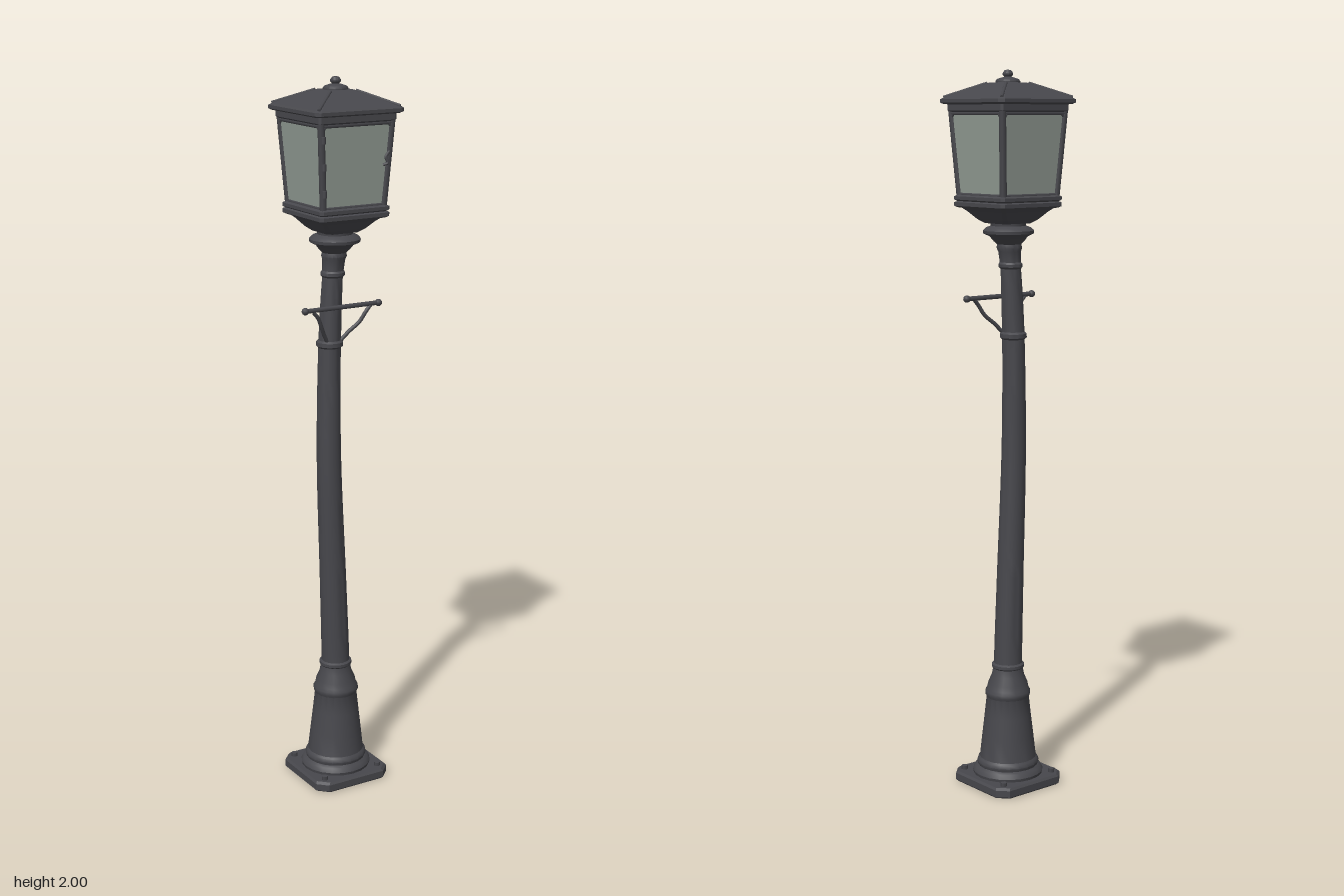
import * as THREE from 'three';
import { toCreasedNormals } from 'three/addons/utils/BufferGeometryUtils.js';

const metal = new THREE.MeshStandardMaterial({ color: 0x47474c });
metal.name = 'dark iron';
const glass = new THREE.MeshStandardMaterial({ color: 0x919b93 });
glass.name = 'grey green glass';

const V = (x, y, z) => new THREE.Vector3(x, y, z);

// Sideways lean of the old post at a given height
const leanCurve = new THREE.CatmullRomCurve3([
  V(0, 0, 0), V(0, 0.33, 0), V(-0.009, 0.6, 0.001), V(-0.022, 0.97, 0.001),
  V(-0.017, 1.28, -0.003), V(-0.009, 1.45, -0.003), V(-0.002, 1.56, -0.001), V(0, 1.7, 0),
]);
const leanPoints = leanCurve.getPoints(120);
function lean(y) {
  let i = 1;
  while (i < leanPoints.length - 1 && leanPoints[i].y < y) i++;
  const a = leanPoints[i - 1], b = leanPoints[i];
  const t = THREE.MathUtils.clamp((y - a.y) / (b.y - a.y), 0, 1);
  return a.clone().lerp(b, t);
}

function add(parent, name, geometry, material = metal) {
  const mesh = new THREE.Mesh(geometry, material);
  mesh.name = name;
  parent.add(mesh);
  return mesh;
}

// Turned part from [radius, height] pairs
function turned(profile, sides = 20) {
  return new THREE.LatheGeometry(profile.map(([r, y]) => new THREE.Vector2(r, y)), sides);
}

// Solid with square, corner-cut sections: rows of [half width, corner cut, height]
function squareLoft(rows) {
  const pos = [];
  const ring = ([h, c, y]) => [
    [h, h - c], [h - c, h], [c - h, h], [-h, h - c],
    [-h, c - h], [c - h, -h], [h - c, -h], [h, c - h],
  ].map(([x, z]) => [x, y, z]);
  const rings = rows.map(ring);
  for (let k = 0; k < rings.length - 1; k++) {
    for (let i = 0; i < 8; i++) {
      const j = (i + 1) % 8, a = rings[k], b = rings[k + 1];
      pos.push(...a[i], ...b[j], ...a[j], ...a[i], ...b[i], ...b[j]);
    }
  }
  const lo = rings[0], hi = rings[rings.length - 1];
  for (let i = 1; i < 7; i++) {
    pos.push(...lo[0], ...lo[i], ...lo[i + 1], ...hi[0], ...hi[i + 1], ...hi[i]);
  }
  const g = new THREE.BufferGeometry();
  g.setAttribute('position', new THREE.Float32BufferAttribute(pos, 3));
  g.computeVertexNormals();
  return g;
}

// Straight bar between two points
function bar(parent, name, a, b, radius, sides = 8) {
  const mesh = add(parent, name, new THREE.CylinderGeometry(radius, radius, a.distanceTo(b), sides));
  mesh.position.copy(a).add(b).multiplyScalar(0.5);
  mesh.quaternion.setFromUnitVectors(V(0, 1, 0), b.clone().sub(a).normalize());
  return mesh;
}

function makePost() {
  const post = new THREE.Group();
  post.name = 'post';
  add(post, 'basePlate', squareLoft([
    [0.113, 0.028, 0], [0.118, 0.028, 0.005], [0.118, 0.028, 0.024], [0.113, 0.028, 0.03],
  ]));
  for (const x of [-1, 1]) for (const z of [-1, 1]) {
    const bolt = add(post, 'baseBolt', new THREE.CylinderGeometry(0.009, 0.009, 0.014, 6));
    bolt.position.set(x * 0.088, 0.034, z * 0.088);
  }
  // Foot, long shaft and collars share one turned profile
  const profile = [
    [0, 0.02], [0.098, 0.028], [0.1, 0.038], [0.094, 0.05], [0.085, 0.055], [0.088, 0.064],
    [0.085, 0.073], [0.08, 0.078], [0.073, 0.14], [0.066, 0.2], [0.06, 0.255], [0.064, 0.262],
    [0.064, 0.272], [0.059, 0.28], [0.056, 0.295], [0.046, 0.318], [0.042, 0.338],
    [0.046, 0.342], [0.046, 0.35], [0.04, 0.354],
  ];
  for (let i = 1; i < 22; i++) {
    const t = i / 22;
    profile.push([0.04 - 0.009 * t, 0.354 + 0.92 * t]);
  }
  profile.push(
    [0.031, 1.274], [0.037, 1.279], [0.037, 1.29], [0.031, 1.295], [0.03, 1.36], [0.029, 1.42],
    [0.028, 1.468], [0.033, 1.473], [0.033, 1.481], [0.029, 1.486], [0.031, 1.515],
    [0.035, 1.525], [0.033, 1.535], [0.042, 1.543], [0.052, 1.556], [0.069, 1.564],
    [0.07, 1.572], [0.062, 1.58], [0.048, 1.585], [0.05, 1.6], [0, 1.605],
  );
  const g = turned(profile);
  const p = g.attributes.position;
  for (let i = 0; i < p.count; i++) {
    const o = lean(p.getY(i));
    p.setX(i, p.getX(i) + o.x);
    p.setZ(i, p.getZ(i) + o.z);
  }
  add(post, 'shaft', toCreasedNormals(g, 0.65));
  return post;
}

// Cross bar with two curved braces
function makeLadderRest() {
  const rest = new THREE.Group();
  rest.name = 'ladderRest';
  const y = 1.39, z = 0.034;
  bar(rest, 'crossBar', V(-0.116, y, z), V(0.118, y, z), 0.0065);
  for (const s of [-1, 1]) {
    add(rest, 'barEnd', new THREE.SphereGeometry(0.01, 10, 8)).position.set(0.001 + s * 0.115, y, z);
    const path = new THREE.CatmullRomCurve3([
      V(-0.014 + s * 0.022, 1.295, 0.016), V(-0.01 + s * 0.04, 1.318, 0.022),
      V(-0.002 + s * 0.06, 1.342, 0.029), V(s * 0.076, 1.37, 0.034), V(s * 0.09, y - 0.004, z),
    ]);
    add(rest, 'brace', new THREE.TubeGeometry(path, 14, 0.0055, 7));
  }
  return rest;
}

function makeLantern() {
  const lantern = new THREE.Group();
  lantern.name = 'lantern';
  // Flared seat and bottom moulding
  add(lantern, 'lanternSeat', squareLoft([
    [0.05, 0.012, 1.592], [0.064, 0.01, 1.603], [0.082, 0.008, 1.624], [0.096, 0.008, 1.636],
  ]));
  add(lantern, 'bottomMoulding', squareLoft([
    [0.1, 0.008, 1.634], [0.107, 0.008, 1.638], [0.107, 0.008, 1.648], [0.101, 0.008, 1.651],
    [0.107, 0.008, 1.655], [0.107, 0.008, 1.664], [0.1, 0.008, 1.668],
  ]));
  add(lantern, 'glassPanes', squareLoft([[0.095, 0.004, 1.66], [0.111, 0.004, 1.895]]), glass);
  add(lantern, 'topRail', squareLoft([
    [0.113, 0.006, 1.888], [0.118, 0.006, 1.892], [0.118, 0.006, 1.908], [0.122, 0.006, 1.912],
  ]));
  // Corner posts and the slim rails framing each pane
  for (let i = 0; i < 4; i++) {
    const side = new THREE.Group();
    side.name = 'lanternSide';
    side.rotation.y = i * Math.PI / 2;
    lantern.add(side);
    bar(side, 'cornerPost', V(0.092, 1.66, 0.092), V(0.108, 1.9, 0.108), 0.0095);
    bar(side, 'lowerPaneRail', V(-0.092, 1.669, 0.094), V(0.092, 1.669, 0.094), 0.005, 6);
    bar(side, 'upperPaneRail', V(-0.108, 1.885, 0.109), V(0.108, 1.885, 0.109), 0.006, 6);
    for (const s of [-1, 1]) {
      bar(side, 'paneGusset', V(s * 0.104, 1.874, 0.109), V(s * 0.094, 1.886, 0.109), 0.005, 6);
    }
  }
  // Door latch and hinges
  const latch = new THREE.CatmullRomCurve3([
    V(0.1, 1.81, 0.108), V(0.088, 1.795, 0.11), V(0.092, 1.78, 0.113), V(0.08, 1.775, 0.108),
  ]);
  add(lantern, 'doorLatch', new THREE.TubeGeometry(latch, 12, 0.004, 6));
  for (const y of [1.71, 1.78, 1.85]) {
    const z = 0.098 + (y - 1.66) * 0.068;
    bar(lantern, 'doorHinge', V(-0.096 - (y - 1.71) * 0.06, y - 0.009, z + 0.004),
      V(-0.096 - (y - 1.71) * 0.06, y + 0.009, z + 0.004), 0.006);
  }
  // Roof with hip ribs
  add(lantern, 'roof', squareLoft([
    [0.128, 0.012, 1.909], [0.135, 0.013, 1.913], [0.135, 0.013, 1.922], [0.129, 0.012, 1.926],
    [0.08, 0.006, 1.948], [0.036, 0.003, 1.966],
  ]));
  for (const x of [-1, 1]) for (const z of [-1, 1]) {
    bar(lantern, 'roofRib', V(x * 0.123, 1.927, z * 0.123), V(x * 0.039, 1.964, z * 0.039), 0.0045);
  }
  const finial = turned([
    [0.033, 1.96], [0.034, 1.969], [0.03, 1.975], [0.017, 1.979], [0.01, 1.981],
    [0.014, 1.986], [0.014, 1.991], [0.009, 1.998], [0, 2],
  ], 12);
  add(lantern, 'finial', toCreasedNormals(finial, 0.7));
  return lantern;
}

export function createModel() {
  const model = new THREE.Group();
  model.name = 'streetLamp';
  model.add(makePost(), makeLadderRest(), makeLantern());
  return model;
}
